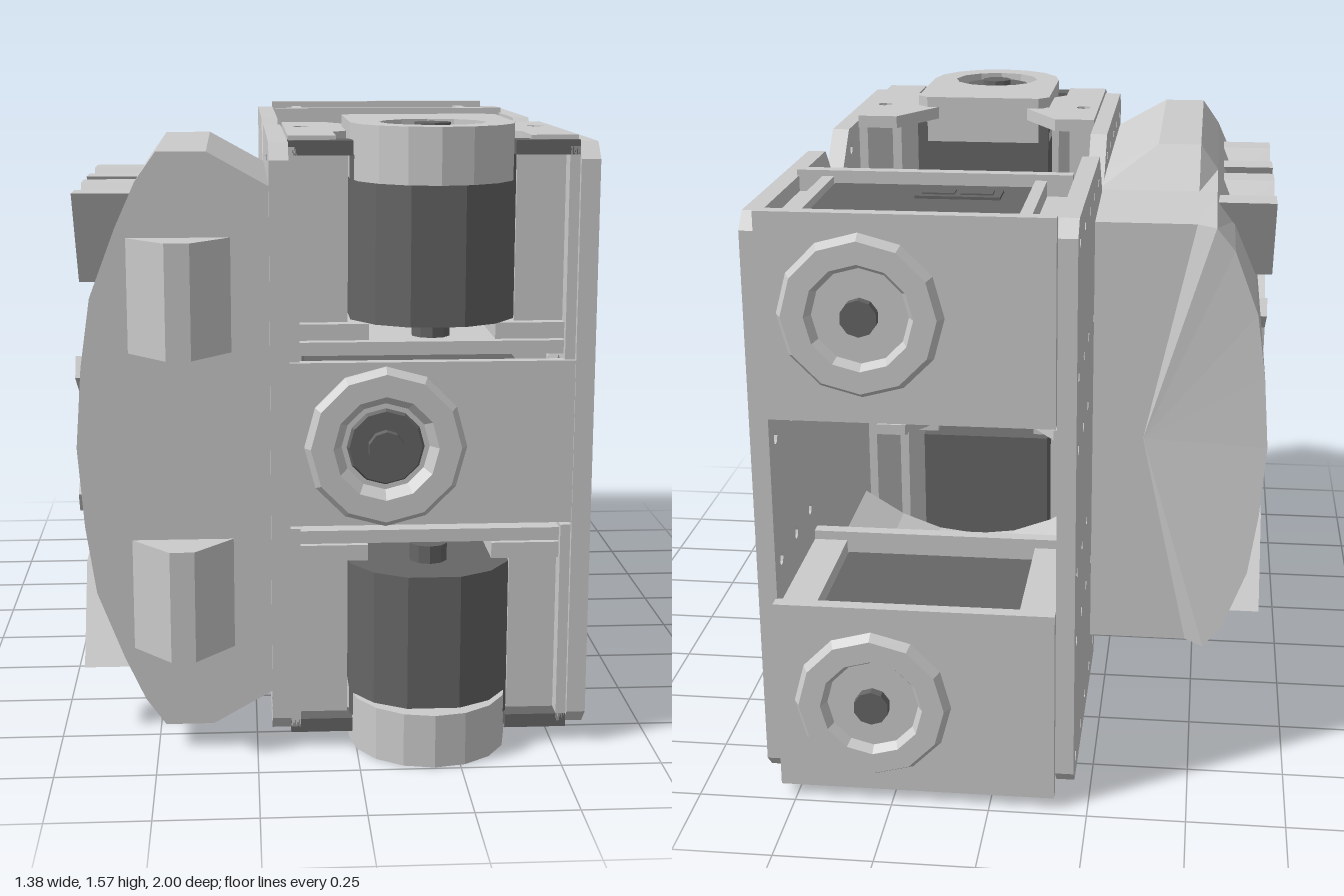
import * as THREE from 'three';

const CY = 0.79; // height of the horizontal symmetry plane
const grey = new THREE.MeshStandardMaterial({ color: 0xcccccc, flatShading: true, side: THREE.DoubleSide });
const dark = new THREE.MeshStandardMaterial({ color: 0x666666, flatShading: true, side: THREE.DoubleSide });

function add(parent, name, geo, mat = grey) {
  const m = new THREE.Mesh(geo, mat);
  m.name = name;
  parent.add(m);
  return m;
}
const V = (pts) => pts.map(([x, y]) => new THREE.Vector2(x, y));
// Box given by its two extreme corners
function box(x0, x1, y0, y1, z0, z1) {
  return new THREE.BoxGeometry(x1 - x0, y1 - y0, z1 - z0).translate((x0 + x1) / 2, (y0 + y1) / 2, (z0 + z1) / 2);
}
// Outline with circular holes [u, v, radius, sides], extruded from 0 to depth along z
function extrude(pts, depth, holes = []) {
  const s = new THREE.Shape(V(pts));
  for (const [u, v, r, n] of holes) {
    const c = [];
    for (let i = 0; i < n; i++) {
      const a = -i / n * Math.PI * 2;
      c.push([u + r * Math.cos(a), v + r * Math.sin(a)]);
    }
    s.holes.push(new THREE.Path(V(c)));
  }
  return new THREE.ExtrudeGeometry(s, { depth, bevelEnabled: false });
}
// Outline in (z, y), filling x0..x1
const alongX = (pts, x0, x1, holes) => extrude(pts, x1 - x0, holes).rotateY(-Math.PI / 2).translate(x1, 0, 0);
// Outline in (x, z), filling y0..y1
const alongY = (pts, y0, y1, holes) => extrude(pts, y1 - y0, holes).rotateX(Math.PI / 2).translate(0, y1, 0);
const rect = (a, b, c, d) => [[a, c], [b, c], [b, d], [a, d]];

// Recessed joint ring with a stub axle; it faces +z before placing
function hub(parent, x, y, z, back, h = 0.05) {
  const g = new THREE.Group();
  g.name = 'jointHub';
  const ring = V([[0.2, 0], [0.2, h * 0.5], [0.185, h], [0.13, h], [0.105, 0.005], [0, 0.005]]);
  add(g, 'hubRing', new THREE.LatheGeometry(ring, 12).rotateX(Math.PI / 2));
  add(g, 'hubHorn', new THREE.CylinderGeometry(0.09, 0.1, 0.02, 12).rotateX(Math.PI / 2).translate(0, 0, 0.012), dark);
  add(g, 'hubScrew', new THREE.CylinderGeometry(0.045, 0.045, 0.05, 10).rotateX(Math.PI / 2).translate(0, 0, 0.025), dark);
  g.position.set(x, y, z);
  if (back) g.rotation.y = Math.PI;
  parent.add(g);
}

// Side plate: chamfered, V notches in the middle, bolt hole pattern
function sidePlate(parent, name, x0, x1) {
  const half = [[0.865, 0.70], [0.825, 0.74], [0.12, 0.74], [0.0, 0.62], [-0.04, 0.585], [-0.2, 0.74], [-0.905, 0.74], [-0.945, 0.70]];
  const pts = half.map(([z, y]) => [z, CY + y]).concat(half.slice().reverse().map(([z, y]) => [z, CY - y]));
  const columns = [[0.80, -0.88], [0.635, -0.715], [0.475, -0.555], [0.31, -0.39], [0.147, -0.227]];
  const holes = [];
  for (const [dy, n] of [[0.68, 5], [0.35, 4], [0.163, 3]])
    for (const s of [1, -1])
      for (const pair of columns.slice(0, n)) for (const z of pair) holes.push([z, CY + s * dy, 0.017, 8]);
  add(parent, name, alongX(pts, x0, x1, holes));
}

// Vertical front joint (upper one; mirrored for the lower)
function frontJoint(parent) {
  const cx = 0.185, cz = 0.79, arc = [];
  for (let i = 0; i <= 8; i++) {
    const a = i / 8 * Math.PI;
    arc.push([cx + 0.2 * Math.cos(a), cz + 0.205 * Math.sin(a)]);
  }
  const cap = [[-0.015, 0.46], [0.015, 0.43], [0.355, 0.43], [0.385, 0.46], ...arc];
  add(parent, 'hubCap', alongY(cap, 1.44, 1.575, [[cx, cz, 0.13, 12]]));
  add(parent, 'hubHorn', new THREE.CylinderGeometry(0.1, 0.11, 0.06, 12).translate(cx, 1.53, cz), dark);
  add(parent, 'hubScrew', new THREE.CylinderGeometry(0.045, 0.045, 0.12, 10).translate(cx, 1.515, cz), dark);
  const body = [[-0.015, 0.43], [0.385, 0.43], [0.385, 0.82], [0.33, 0.9], [0.25, 0.945], [0.12, 0.945], [0.04, 0.9], [-0.015, 0.82]];
  add(parent, 'servoBody', alongY(body, 1.1, 1.5), dark);
  add(parent, 'lowerHorn', new THREE.CylinderGeometry(0.048, 0.048, 0.05, 10).translate(cx, 1.08, cz), dark);
  // bracket: notched plate at the bottom, winged plate on top, uprights on the sides
  const wing = [[-0.165, 0.26], [-0.05, 0.26], [0.05, 0.43], [0.0, 0.44], [0.0, 0.62], [-0.05, 0.68], [-0.05, 0.82], [-0.165, 0.82]];
  for (const s of [1, -1]) {
    const mx = (x) => cx + s * (x - cx);
    const span = (a, b) => [Math.min(mx(a), mx(b)), Math.max(mx(a), mx(b))];
    add(parent, 'bracketWing', alongY(wing.map(([x, z]) => [mx(x), z]), 1.51, 1.545, [[mx(-0.12), 0.465, 0.023, 8]]));
    add(parent, 'bracketWall', box(...span(-0.165, -0.14), 1.0, 1.52, 0.27, 0.85));
    add(parent, 'bracketUpright', box(...span(-0.14, -0.02), 1.04, 1.5, 0.68, 0.8));
    add(parent, 'bracketStrap', box(...span(-0.06, -0.04), 1.04, 1.52, 0.28, 0.7));
    add(parent, 'bracketFoot', box(...span(-0.165, 0.03), 1.05, 1.09, 0.44, 0.83));
    add(parent, 'bracketLip', box(...span(-0.165, -0.01), 1.5, 1.535, 0.78, 0.85), dark);
  }
  add(parent, 'bracketBase', alongY([[-0.165, 0.27], [-0.05, 0.27], [0.06, 0.43], [0.31, 0.43], [0.42, 0.27], [0.535, 0.27], [0.535, 0.83], [-0.165, 0.83]], 1.012, 1.045));
}

// Rear joint (upper one; mirrored for the lower)
function rearJoint(parent) {
  add(parent, 'servoBody', box(-0.07, 0.44, 1.09, 1.515, -0.93, -0.525), dark);
  add(parent, 'connector', alongY(rect(0.0, 0.21, -0.68, -0.59), 1.51, 1.522), dark);
  for (const x of [0.02, 0.115]) add(parent, 'connectorSocket', box(x, x + 0.08, 1.52, 1.526, -0.66, -0.615), dark);
  for (const [z0, z1] of [[-0.975, -0.94], [-0.515, -0.48]])
    add(parent, 'bracketPlate', box(-0.165, 0.54, 1.035, 1.545, z0, z1));
  for (const x of [-0.165, 0.445]) {
    add(parent, 'bracketSide', box(x, x + 0.095, 1.06, 1.49, -0.94, -0.51));
    add(parent, 'bracketRib', box(x < 0 ? -0.1 : 0.445, x < 0 ? -0.07 : 0.475, 1.06, 1.53, -0.94, -0.51));
  }
  hub(parent, 0.295, 1.3, -0.95, true);
  hub(parent, 0.295, 1.3, -0.485, false, 0.03);
}

// Faceted armour on the right side, lofted along z; the rear is cut lower
function shellGeometry() {
  const half = [[-0.2, 0.63], [-0.36, 0.72], [-0.48, 0.72], [-0.53, 0.65], [-0.58, 0.54], [-0.645, 0.37], [-0.67, 0.2]];
  const outline = [...half, [-0.685, 0], ...half.slice().reverse().map(([x, y]) => [x, -y])];
  const n = outline.length, pos = [], idx = [];
  const sections = [[-0.4, 0.6], [-0.06, 0.62], [0.1, 0.72], [0.84, 0.72]];
  for (const [z, cap] of sections)
    for (const [x, y] of outline)
      pos.push(x, CY + Math.max(-cap, Math.min(cap, y)), z === -0.4 && x > -0.5 ? -0.36 : z);
  for (let s = 0; s < sections.length - 1; s++)
    for (let i = 0; i < n; i++) {
      const j = (i + 1) % n, a = s * n + i, b = s * n + j;
      idx.push(a, b, b + n, a, b + n, a + n);
    }
  const last = (sections.length - 1) * n, c = pos.length / 3;
  pos.push(-0.35, CY, -0.36, -0.35, CY, 0.84);
  for (let i = 0; i < n; i++) {
    const j = (i + 1) % n;
    idx.push(c, j, i, c + 1, last + i, last + j);
  }
  const g = new THREE.BufferGeometry();
  g.setAttribute('position', new THREE.Float32BufferAttribute(pos, 3));
  g.setIndex(idx);
  g.computeVertexNormals();
  return g;
}

export function createModel() {
  const model = new THREE.Group();
  model.name = 'servoTorso';

  sidePlate(model, 'leftPlate', 0.535, 0.582);
  sidePlate(model, 'rightPlate', -0.212, -0.165);

  // round cap on the left plate
  const cap = V([[0.26, 0], [0.26, 0.07], [0.24, 0.1], [0.12, 0.108], [0, 0.11]]);
  add(model, 'sideCap', new THREE.LatheGeometry(cap, 14).rotateZ(-Math.PI / 2).translate(0.58, CY, -0.045));

  // curved covers between the plates
  const arc = (h) => [0, 1, 2, 3, 4, 5, 6].map((i) => [-0.165 + i * 0.7 / 6, CY + h - 0.13 * ((i - 3) / 3) ** 2]);
  const cover = extrude([...arc(0.6), ...arc(0.55).reverse()], 0.5).translate(0, 0, -0.3);
  add(model, 'upperCover', cover);

  // mirrored joints above and below
  for (const s of [1, -1]) {
    const g = new THREE.Group();
    g.name = s > 0 ? 'upperJoints' : 'lowerJoints';
    frontJoint(g);
    rearJoint(g);
    if (s < 0) {
      add(g, 'lowerCover', cover);
      g.scale.y = -1;
      g.position.y = 2 * CY;
    }
    model.add(g);
  }

  // middle front joint
  const mid = new THREE.Group();
  mid.name = 'middleJoint';
  for (const [z0, z1] of [[0.83, 0.86], [0.42, 0.45]]) add(mid, 'bracketPlate', box(-0.165, 0.535, 0.59, 1.0, z0, z1));
  add(mid, 'servoBody', box(-0.12, 0.42, 0.62, 0.965, 0.45, 0.83), dark);
  hub(mid, 0.07, CY, 0.85, false, 0.04);
  hub(mid, 0.07, CY, 0.43, true, 0.03);
  model.add(mid);

  // armour with front blocks and raised claws
  const armour = new THREE.Group();
  armour.name = 'sideArmour';
  add(armour, 'shell', shellGeometry());
  for (const s of [1, -1]) {
    const y = CY + s * 0.375;
    add(armour, 'frontBlock', alongY([[-0.555, 0.82], [-0.305, 0.82], [-0.305, 0.84], [-0.4, 0.95], [-0.46, 0.95], [-0.555, 0.84]], y - 0.14, y + 0.14));
    for (const z of [0.05, 0.525]) {
      const claw = [[-0.195, 0.61], [-0.1, 0.61], [0, 0.47], [0.1, 0.61], [0.195, 0.61], [0.04, 0.37], [-0.04, 0.37]];
      add(armour, 'claw', alongX(claw.map(([u, v]) => [z + u, CY + s * v]), -0.692, -0.5));
    }
  }
  // double fork in the middle of the armour
  const quarter = [[0.035, 0], [0.045, 0.07], [0.19, 0.15], [0.16, 0.2], [0.0, 0.11]];
  const fork = [
    ...quarter, ...quarter.slice(0, 4).reverse().map(([u, v]) => [-u, v]),
    ...quarter.slice(1).map(([u, v]) => [-u, -v]), ...quarter.slice(1, 4).reverse().map(([u, v]) => [u, -v]),
  ];
  add(armour, 'fork', alongX(fork.map(([u, v]) => [0.525 + u, CY + v]), -0.695, -0.62));
  model.add(armour);

  return model;
}
